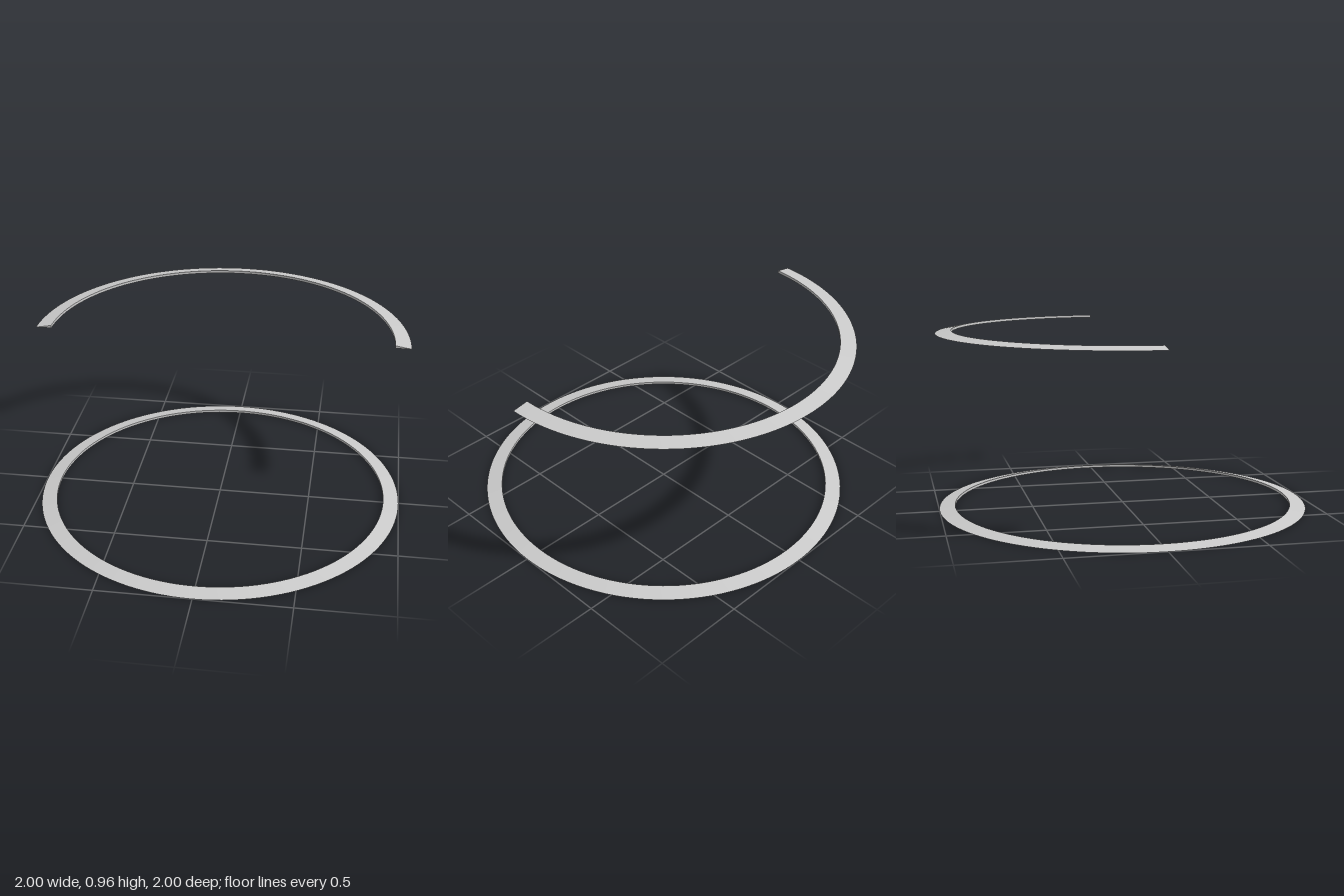
import * as THREE from 'three';
import { toCreasedNormals } from 'three/addons/utils/BufferGeometryUtils.js';

const INNER = 0.915, OUTER = 1, THICK = 0.015;

export function createModel() {
  const model = new THREE.Group();
  const material = new THREE.MeshStandardMaterial({ color: 0xcccccc });

  // Wedge section: flat underside, top sloping down to a sharp outer rim
  const section = [[INNER, 0], [OUTER, 0], [INNER, THICK]].map(([x, y]) => new THREE.Vector2(x, y));

  function ring(name, y, segments, start, sweep) {
    const lathe = new THREE.LatheGeometry([...section, section[0]], segments, start, sweep);
    const mesh = new THREE.Mesh(toCreasedNormals(lathe, 0.15), material);
    mesh.name = name;
    mesh.position.y = y;
    model.add(mesh);
    return mesh;
  }

  // Full ring on the ground
  ring('lowerRing', 0, 128, 0, Math.PI * 2);

  // Half ring above it, covering the back
  const half = ring('upperHalfRing', 0.948, 64, Math.PI / 2, Math.PI);

  // Flat ends of the half ring, facing the front
  for (const side of [1, -1]) {
    const shape = new THREE.Shape(section.map((p) => new THREE.Vector2(p.x * side, p.y)));
    const cap = new THREE.Mesh(new THREE.ShapeGeometry(shape), material);
    cap.name = side > 0 ? 'leftEnd' : 'rightEnd';
    half.add(cap);
  }

  return model;
}
